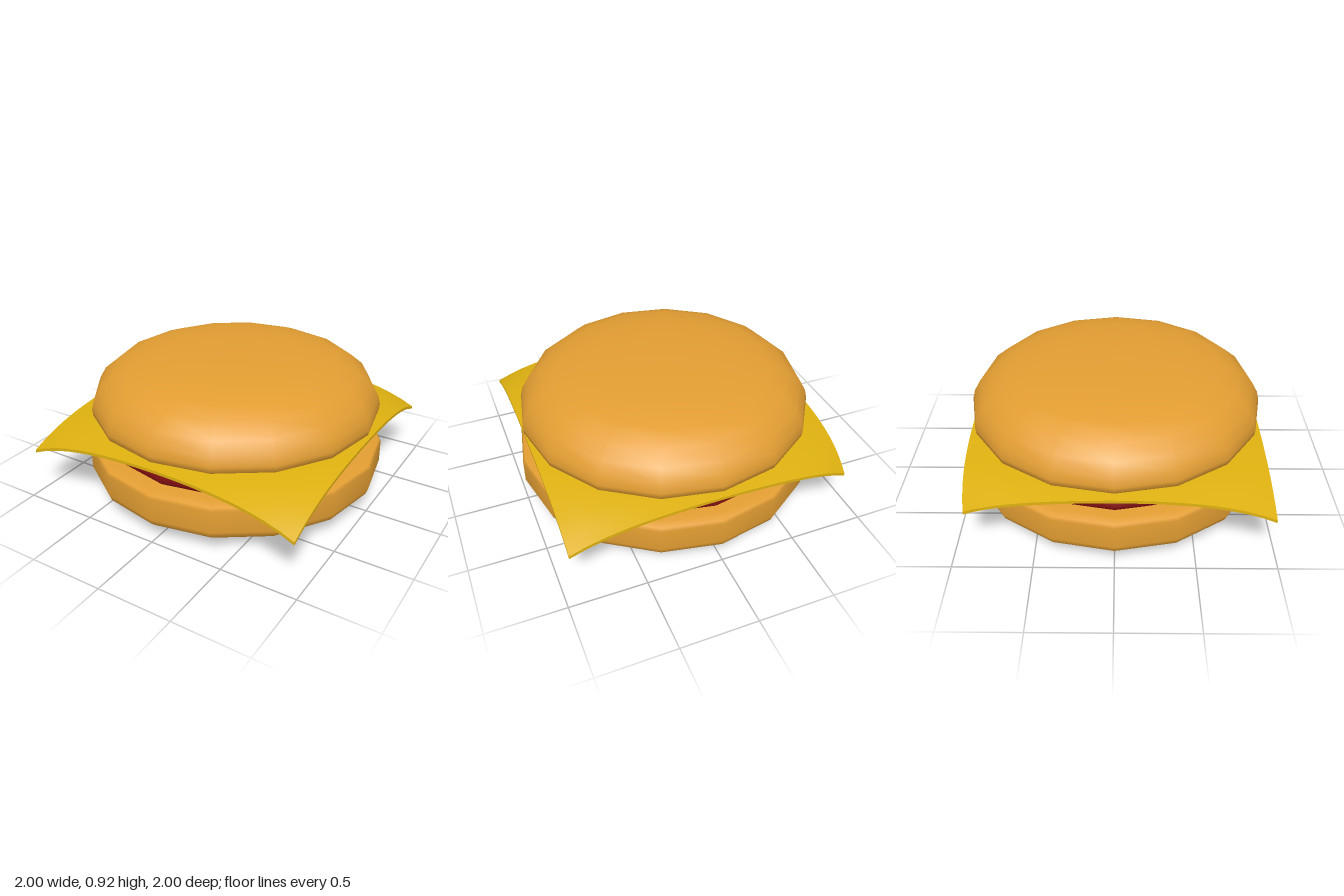
import * as THREE from 'three';

const material = (name, color, side = THREE.FrontSide) => {
  const m = new THREE.MeshStandardMaterial({ color, side });
  m.name = name;
  return m;
};

// Sixteen-sided smooth turned part; profile runs from bottom to top as [radius, y]
function turned(name, profile, mat) {
  const points = profile.map(([r, y]) => new THREE.Vector2(r, y));
  const mesh = new THREE.Mesh(new THREE.LatheGeometry(points, 16), mat);
  mesh.name = name;
  return mesh;
}

// Square slice whose corners droop, with the back corners pulled in a little
function cheeseSlice(mat) {
  const half = 0.955, thickness = 0.02, n = 20;
  const geometry = new THREE.BoxGeometry(2, thickness, 2, n, 1, n);
  const p = geometry.attributes.position;
  for (let i = 0; i < p.count; i++) {
    const u = p.getX(i), v = p.getZ(i);
    const drop = 0.175 * Math.pow(Math.hypot(u, v) / Math.SQRT2, 5);
    const backLeft = Math.max(0, -u) * Math.max(0, -v);
    const backRight = Math.max(0, u) * Math.max(0, -v);
    const front = Math.max(0, v) * u * u;
    const x = u * half + 0.06 * backLeft ** 3 - 0.005 * backRight;
    const z = v * half + 0.045 * backLeft ** 3 + 0.02 * backRight ** 2 + 0.01 * front;
    p.setXYZ(i, x, 0.52 + p.getY(i) - drop, z);
  }
  geometry.computeVertexNormals();
  const mesh = new THREE.Mesh(geometry, mat);
  mesh.name = 'cheeseSlice';
  return mesh;
}

export function createModel() {
  const bun = material('toasted bun', 0xe29d32);
  const meat = material('red patty', 0x8a1012);
  const cheese = material('yellow cheese', 0xddb010);

  const group = new THREE.Group();
  group.name = 'cheeseburger';
  group.add(
    turned('bottomBun', [
      [0, 0.003], [0.3, 0.01], [0.6, 0.025], [0.83, 0.06], [0.95, 0.1],
      [0.985, 0.13], [1, 0.17], [1, 0.32], [0.985, 0.337], [0.93, 0.35],
      [0.8, 0.355], [0, 0.355],
    ], bun),
    turned('patty', [
      [0, 0.34], [0.8, 0.342], [0.87, 0.355], [0.9, 0.39], [0.9, 0.445],
      [0.87, 0.475], [0.8, 0.485], [0, 0.49],
    ], meat),
    cheeseSlice(cheese),
    turned('topBun', [
      [0, 0.53], [0.8, 0.53], [0.93, 0.54], [0.965, 0.56], [0.97, 0.6],
      [0.955, 0.66], [0.91, 0.74], [0.82, 0.815], [0.7, 0.865],
      [0.5, 0.902], [0.25, 0.92], [0, 0.925],
    ], bun),
  );
  return group;
}
